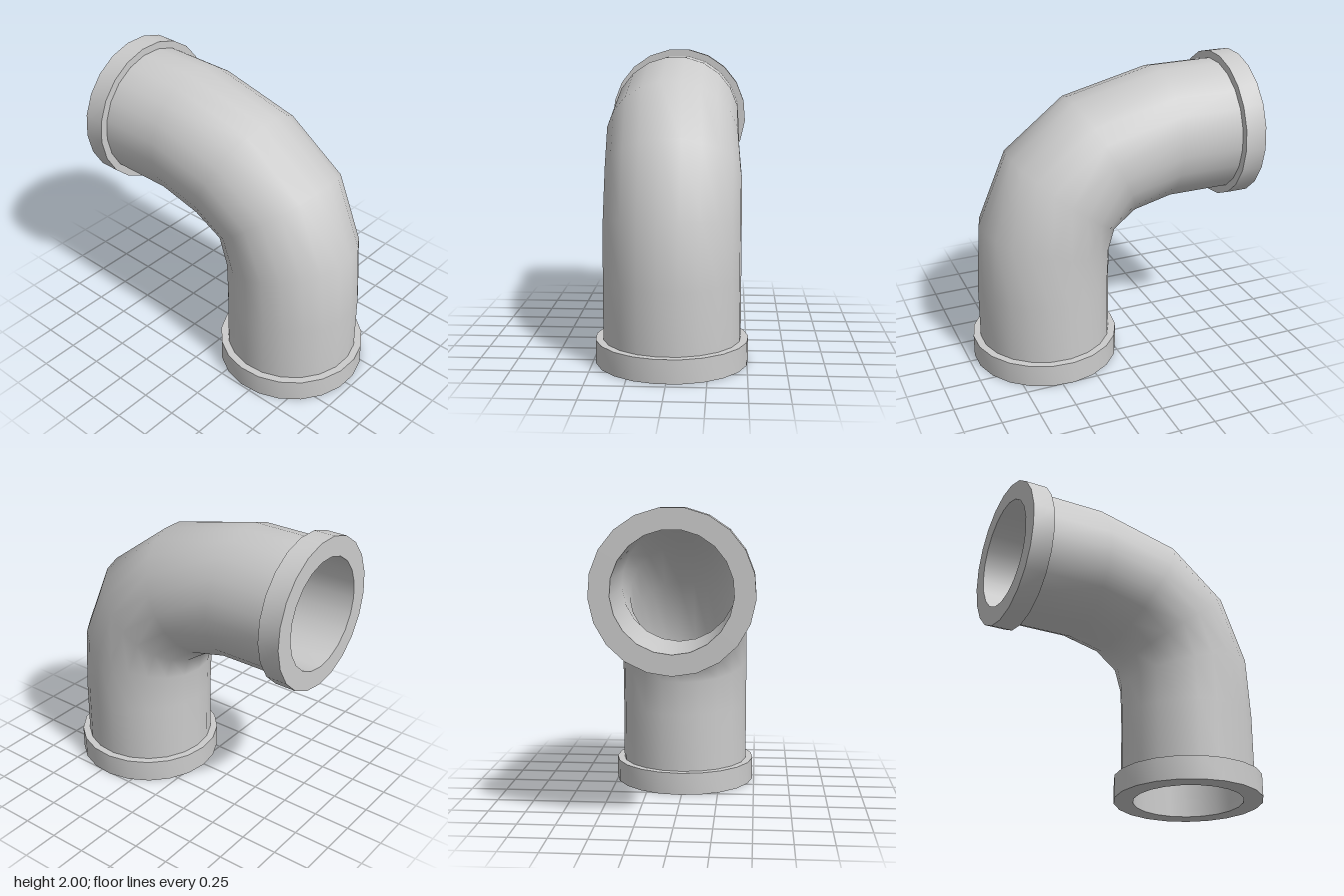
import * as THREE from 'three';

const SIDES = 21;
const PIPE_R = 0.45, FLANGE_R = 0.5, BORE_R = 0.37;

// Stations along the bend: centre x, y, z and the tilt of the ring in degrees
const inletEnd = [-0.955, 1.505, 0.01, 90];
const inletStep = [-0.81, 1.505, 0.01, 90];
const outletStep = [0.455, 0.155, -0.01, 0];
const outletEnd = [0.455, 0, -0.01, 0];
const bend = [
  [-0.385, 1.505, 0.01, 90],
  [0.037, 1.404, 0.01, 64],
  [0.32, 1.197, -0.01, 38.8],
  [0.437, 0.896, -0.01, 13.6],
  [0.455, 0.56, -0.01, 0],
];

// Skin through a row of [station, radius] rings, smooth along and around
function skin(rings) {
  const positions = [], index = [];
  rings.forEach(([[x, y, z, tilt], r], i) => {
    const t = THREE.MathUtils.degToRad(tilt);
    for (let j = 0; j < SIDES; j++) {
      const a = ((j + 0.5) / SIDES) * Math.PI * 2;
      const out = r * Math.cos(a);
      positions.push(x + out * Math.cos(t), y + out * Math.sin(t), z + r * Math.sin(a));
      if (i === rings.length - 1) continue;
      const k = (j + 1) % SIDES;
      const p = i * SIDES + j, q = i * SIDES + k;
      index.push(p, q, p + SIDES, q, q + SIDES, p + SIDES);
    }
  });
  const geometry = new THREE.BufferGeometry();
  geometry.setAttribute('position', new THREE.Float32BufferAttribute(positions, 3));
  geometry.setIndex(index);
  geometry.computeVertexNormals();
  return geometry;
}

export function createModel() {
  const model = new THREE.Group();
  model.name = 'pipeElbow';
  const material = new THREE.MeshStandardMaterial({ color: 0xcccccc });

  const add = (parent, name, rings) => {
    const mesh = new THREE.Mesh(skin(rings), material);
    mesh.name = name;
    parent.add(mesh);
  };

  // Each flange is three separate skins so that its rims stay sharp
  const addFlange = (name, profile) => {
    const flange = new THREE.Group();
    flange.name = name;
    for (let i = 0; i < 3; i++) add(flange, name + 'Face' + (i + 1), [profile[i], profile[i + 1]]);
    model.add(flange);
  };

  // Outer wall of the bend
  add(model, 'pipeWall', [inletStep, ...bend, outletStep].map((s) => [s, PIPE_R]));

  // Hollow inside, run backwards so that it faces inward
  add(model, 'pipeBore', [inletEnd, ...bend, outletEnd].reverse().map((s) => [s, BORE_R]));

  // Collars at both open ends
  addFlange('inletFlange', [
    [inletEnd, BORE_R], [inletEnd, FLANGE_R], [inletStep, FLANGE_R], [inletStep, PIPE_R],
  ]);
  addFlange('outletFlange', [
    [outletStep, PIPE_R], [outletStep, FLANGE_R], [outletEnd, FLANGE_R], [outletEnd, BORE_R],
  ]);

  return model;
}
